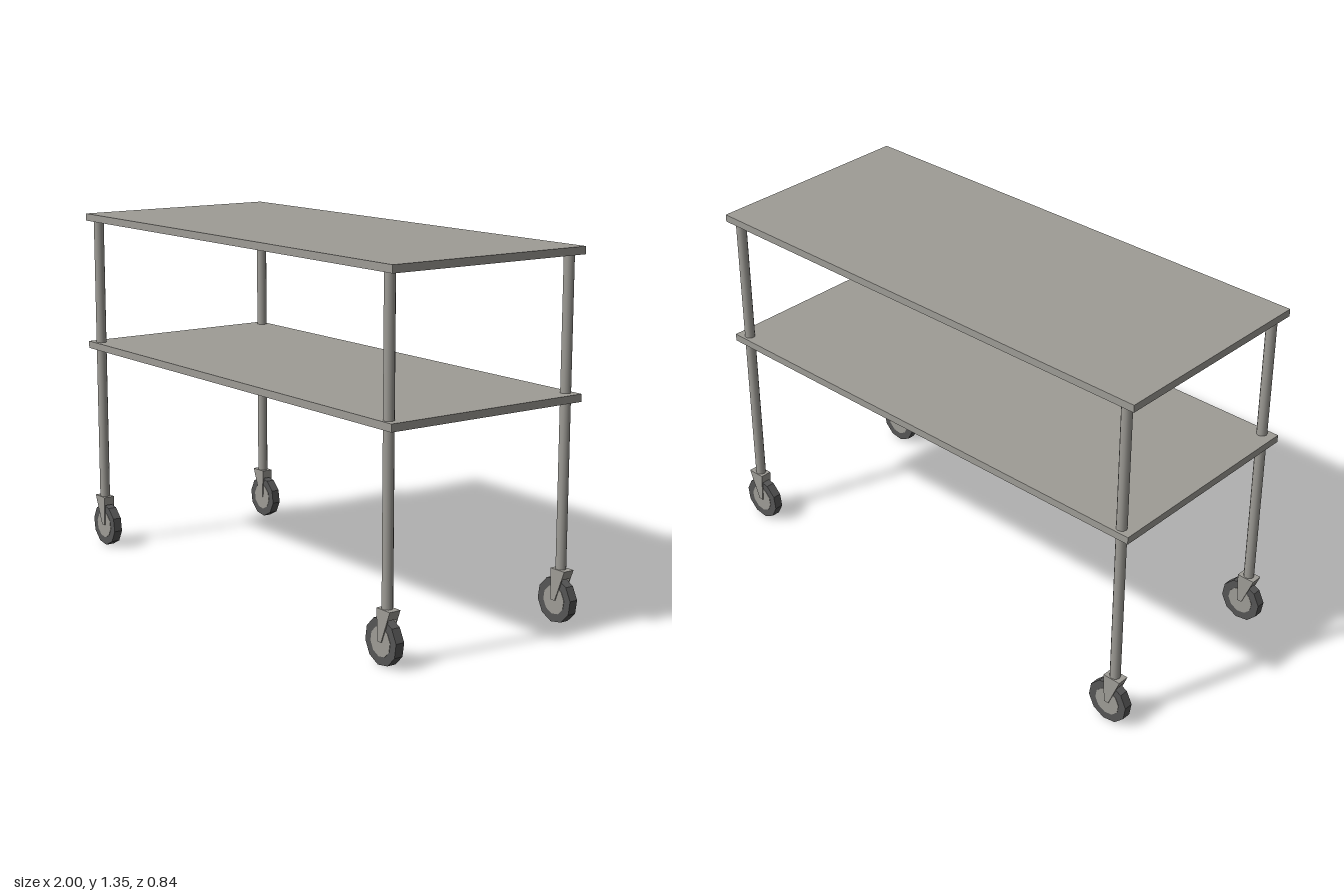
import * as THREE from 'three';

const steel = new THREE.MeshStandardMaterial({ color: 0x9e9c96 });
steel.name = 'brushed steel';
const rubber = new THREE.MeshStandardMaterial({ color: 0x565656 });
rubber.name = 'dark rubber';

const AXLE = 0.084, FORK_TOP = 0.2, SHELF_TOP = 1.35, SHELF_THICK = 0.028;

function part(name, geometry, material, x = 0, y = 0, z = 0) {
  const mesh = new THREE.Mesh(geometry, material);
  mesh.name = name;
  mesh.position.set(x, y, z);
  return mesh;
}

// Disc with its axis along z, faceted like the wheels
function disc(radius, width, sides) {
  const g = new THREE.CylinderGeometry(radius, radius, width, sides);
  g.rotateX(Math.PI / 2);
  g.rotateZ(Math.PI / 20);
  const flat = g.toNonIndexed();
  flat.computeVertexNormals();
  return flat;
}

// Tapered side profile of the fork, relative to the axle, cut at height low
function forkSlab(low, high, depth) {
  const h = FORK_TOP - AXLE;
  const left = (y) => -0.009 - 0.046 * (y / h);
  const right = (y) => 0.01 + 0.006 * (y / h);
  const shape = new THREE.Shape([
    new THREE.Vector2(left(low), low), new THREE.Vector2(right(low), low),
    new THREE.Vector2(right(high), high), new THREE.Vector2(left(high), high),
  ]);
  const g = new THREE.ExtrudeGeometry(shape, { depth, bevelEnabled: false });
  g.translate(0, 0, -depth / 2);
  return g;
}

// Caster: wheel trails inward from the leg
function caster() {
  const group = new THREE.Group();
  group.name = 'caster';
  group.add(part('tyre', disc(0.084, 0.034, 10), rubber));
  group.add(part('hub', disc(0.053, 0.037, 10), steel));
  const h = FORK_TOP - AXLE;
  group.add(part('forkBridge', forkSlab(0.083, h, 0.045), steel));
  for (const s of [-1, 1]) {
    group.add(part('forkPlate', forkSlab(0, 0.083, 0.005), steel, 0, 0, s * 0.02));
  }
  return group;
}

export function createModel() {
  const model = new THREE.Group();
  model.name = 'trolley';

  // Two flat shelves
  const shelf = new THREE.BoxGeometry(1.964, SHELF_THICK, 0.84);
  model.add(part('topShelf', shelf, steel, -0.002, SHELF_TOP - SHELF_THICK / 2, 0));
  model.add(part('lowerShelf', shelf, steel, -0.002, 0.822, 0));

  // Four round legs, each on a caster
  const legHeight = SHELF_TOP - SHELF_THICK - FORK_TOP;
  const leg = new THREE.CylinderGeometry(0.0195, 0.0195, legHeight, 12);
  for (const sx of [-1, 1]) {
    for (const sz of [-1, 1]) {
      model.add(part('leg', leg, steel, sx * 0.932 - 0.002, FORK_TOP + legHeight / 2, sz * 0.391));
      const c = caster();
      c.position.set(sx * 0.916, AXLE, sz * 0.391);
      if (sx > 0) c.rotation.y = Math.PI;
      model.add(c);
    }
  }
  return model;
}
